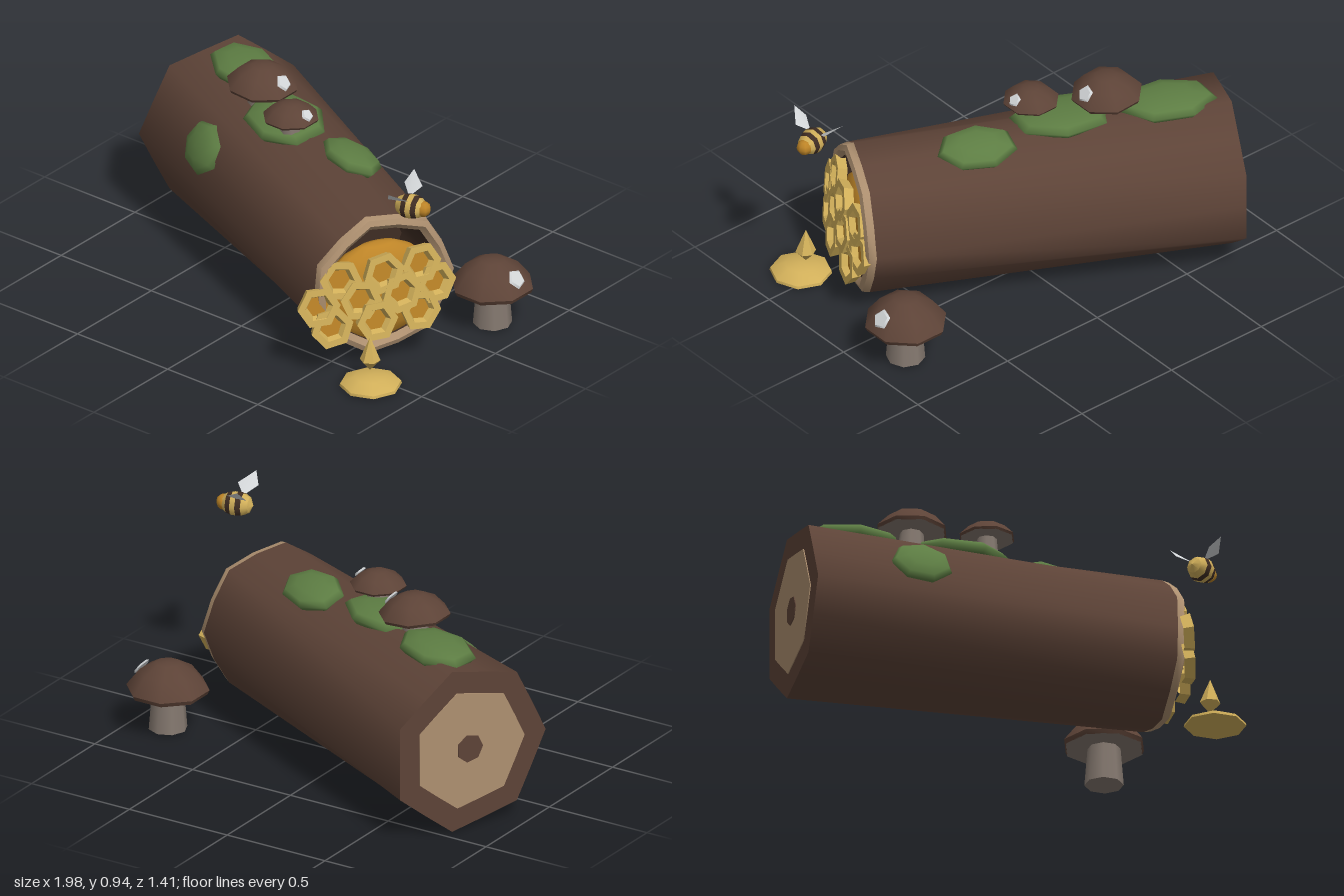
import * as THREE from 'three';
import { toCreasedNormals } from 'three/addons/utils/BufferGeometryUtils.js';

const paint = (name, color, side = THREE.FrontSide) => {
  const m = new THREE.MeshStandardMaterial({ color, side });
  m.name = name;
  return m;
};

export function createModel() {
  const bark = paint('bark', 0x5d4337);
  const cutWood = paint('cutWood', 0xae9070);
  const hollow = paint('hollow', 0x3f2d23);
  const mossGreen = paint('mossGreen', 0x5d7d43);
  const honey = paint('honey', 0xbd8427);
  const wax = paint('wax', 0xd2b05a);
  const stemGrey = paint('stemGrey', 0x84786f);
  const white = paint('white', 0xd3d6d8, THREE.DoubleSide);

  const model = new THREE.Group();
  model.name = 'hollowLogHive';

  const add = (parent, name, geo, mat, x = 0, y = 0, z = 0) => {
    const mesh = new THREE.Mesh(geo, mat);
    mesh.name = name;
    mesh.position.set(x, y, z);
    parent.add(mesh);
    return mesh;
  };
  const lathe = (pts, sides, crease = 0.85) => toCreasedNormals(
    new THREE.LatheGeometry(pts.map(p => new THREE.Vector2(...p)), sides), crease);

  // Seven-cornered cross-sections; corner 0 or 1 sets which way they point
  const N = 14;
  const ring = (r, z, corner) => Array.from({ length: N }, (_, k) => {
    const a = k / N * Math.PI * 2;
    const q = k % 2 === corner ? r : r * (corner ? 0.905 : 0.94);
    return [Math.cos(a) * q, Math.sin(a) * q, z];
  });
  const loft = rings => {
    const index = [];
    for (let i = 0; i < rings.length - 1; i++) {
      for (let k = 0; k < N; k++) {
        const a = i * N + k, b = i * N + (k + 1) % N;
        index.push(a, b, b + N, a, b + N, a + N);
      }
    }
    const geo = new THREE.BufferGeometry();
    geo.setAttribute('position', new THREE.Float32BufferAttribute(rings.flat(2), 3));
    geo.setIndex(index);
    return toCreasedNormals(geo, 0.95);
  };

  // Log, lying along its own z axis
  const log = new THREE.Group();
  log.name = 'log';
  log.position.set(-0.08, 0.387, -0.01);
  log.rotation.y = 1.123;
  model.add(log);
  add(log, 'logBark', loft([ring(0, -0.832, 1), ring(0.385, -0.832, 1), ring(0.337, 0.8, 0)]), bark);
  add(log, 'logRim', loft([ring(0.337, 0.8, 0), ring(0.33, 0.832, 0), ring(0.305, 0.842, 0),
    ring(0.278, 0.82, 0)]), cutWood);
  add(log, 'logHollow', loft([ring(0.278, 0.82, 0), ring(0.26, 0.45, 0), ring(0, 0.45, 0)]), hollow);
  add(log, 'cutEnd', loft([ring(0, -0.836, 1), ring(0.277, -0.836, 1), ring(0.277, -0.83, 1)]), cutWood);
  add(log, 'cutEndHeart', loft([ring(0, -0.84, 1), ring(0.065, -0.84, 1), ring(0.065, -0.83, 1)]), bark);

  // Moss cushions: [angle around log, position along it, half length, half width, distance from axis]
  [[90, -0.568, 0.22, 0.145, 0.365], [95, -0.108, 0.23, 0.17, 0.345],
    [74, 0.297, 0.18, 0.12, 0.345], [153, -0.344, 0.14, 0.12, 0.34]].forEach(([deg, z, len, wid, d], i) => {
    const a = deg * Math.PI / 180;
    const geo = new THREE.SphereGeometry(1, 7, 6);
    geo.rotateY(i * 1.3);
    const moss = add(log, 'moss', geo, mossGreen, Math.cos(a) * d, Math.sin(a) * d, z);
    moss.scale.set(wid, 0.05, len);
    moss.rotation.z = a - Math.PI / 2;
  });

  // Honey filling the hollow
  add(log, 'honeyMass', new THREE.SphereGeometry(1, 14, 10), honey, 0, -0.06, 0.76).scale.set(0.265, 0.235, 0.1);

  // Honeycomb cells in rows of three, four and three
  const cellGeo = lathe([[0.085, -0.045], [0.096, 0], [0.062, 0], [0.046, -0.03]], 6, 0.3);
  const floorGeo = new THREE.CircleGeometry(0.05, 6, Math.PI / 2);
  const comb = new THREE.Group();
  comb.name = 'honeycomb';
  comb.position.set(0, -0.03, 0.885);
  comb.rotation.x = -0.14;
  log.add(comb);
  [[0.105, [-0.215, -0.02, 0.165]], [0, [-0.32, -0.13, 0.06, 0.235]],
    [-0.105, [-0.265, -0.065, 0.15]]].forEach(([y, xs], r) => xs.forEach((x, i) => {
    const cell = new THREE.Group();
    cell.name = 'combCell';
    cell.position.set(x, y, -0.35 * x * x + ((i + r) % 2) * 0.008);
    cell.rotation.set(0, x * 0.5, Math.PI / 6 + ((i * 2 + r) % 3 - 1) * 0.16);
    comb.add(cell);
    add(cell, 'cellWall', cellGeo, wax).rotation.x = Math.PI / 2;
    add(cell, 'cellHoney', floorGeo, honey, 0, 0, -0.026);
  }));

  // Drip and the puddle under it
  add(model, 'honeyDrip', lathe([[0, 0.08], [0.045, 0.13], [0.025, 0.18], [0, 0.24]], 6), wax, 0.755, 0, 0.55);
  add(model, 'honeyPuddle', lathe([[0, 0.02], [0.135, 0.02], [0.132, 0.032], [0.07, 0.062], [0, 0.066]], 8),
    wax, 0.77, 0, 0.565);

  // Mushrooms: [x, base, z, cap radius, cap height, stem height, stem radius, tilt]
  [[0.82, 0.02, -0.2, 0.182, 0.14, 0.17, 0.085, 0],
    [-0.385, 0.72, -0.105, 0.158, 0.105, 0.08, 0.06, -0.06],
    [-0.09, 0.73, 0.055, 0.124, 0.075, 0.08, 0.05, 0]].forEach(([x, y, z, r, h, sh, sr, tilt]) => {
    const m = new THREE.Group();
    m.name = 'mushroom';
    m.position.set(x, y, z);
    m.rotation.z = tilt;
    model.add(m);
    add(m, 'mushroomStem', new THREE.CylinderGeometry(sr * 0.82, sr, sh + 0.02, 8), stemGrey, 0, sh / 2 + 0.01, 0);
    const cap = add(m, 'mushroomCap', lathe([[r * 0.95, 0], [r, h * 0.14], [r * 0.68, h * 0.68],
      [r * 0.3, h * 0.97], [0, h]], 8), bark, 0, sh, 0);
    cap.rotation.y = Math.PI / 8;
    add(m, 'mushroomGills', new THREE.CircleGeometry(r * 0.96, 8), stemGrey, 0, sh + 0.001, 0)
      .rotation.set(Math.PI / 2, 0, Math.PI / 8);
    // Pale spot lying on the cap slope
    const slope = Math.atan2(r * 0.32, h * 0.54);
    const spot = add(m, 'mushroomSpot', new THREE.CylinderGeometry(r * 0.2, r * 0.25, 0.009, 5), white,
      r * 0.745, sh + h * 0.62, 0);
    spot.rotation.z = slope - Math.PI / 2;
  });

  // Bee, heading along its own x axis
  const bee = new THREE.Group();
  bee.name = 'bee';
  bee.position.set(0.85, 0.845, 0.39);
  bee.rotation.y = 0.25;
  model.add(bee);
  const bodyR = x => 0.056 * Math.sqrt(Math.max(0, 1 - (x / 0.075) ** 2));
  const cuts = [-0.075, -0.058, -0.03, -0.006, 0.018, 0.04, 0.062, 0.075];
  const bands = [wax, wax, hollow, wax, hollow, wax, wax];
  bands.forEach((mat, i) => {
    const geo = new THREE.LatheGeometry([cuts[i], cuts[i + 1]].map(x => new THREE.Vector2(bodyR(x), x)), 8);
    geo.rotateZ(-Math.PI / 2);
    add(bee, 'beeBand', geo, mat);
  });
  add(bee, 'beeHead', new THREE.SphereGeometry(0.035, 8, 6), honey, 0.058, 0, 0);

  // Kite-shaped wings, mirrored
  for (const s of [-1, 1]) {
    const geo = new THREE.BufferGeometry();
    geo.setAttribute('position', new THREE.Float32BufferAttribute([
      -0.02, 0.03, 0.025 * s, 0.02, 0.065, 0.075 * s, -0.045, 0.108, 0.13 * s, -0.07, 0.06, 0.085 * s], 3));
    geo.setIndex(s > 0 ? [0, 1, 2, 0, 2, 3] : [0, 2, 1, 0, 3, 2]);
    geo.computeVertexNormals();
    add(bee, 'beeWing', geo, white);
  }
  return model;
}
